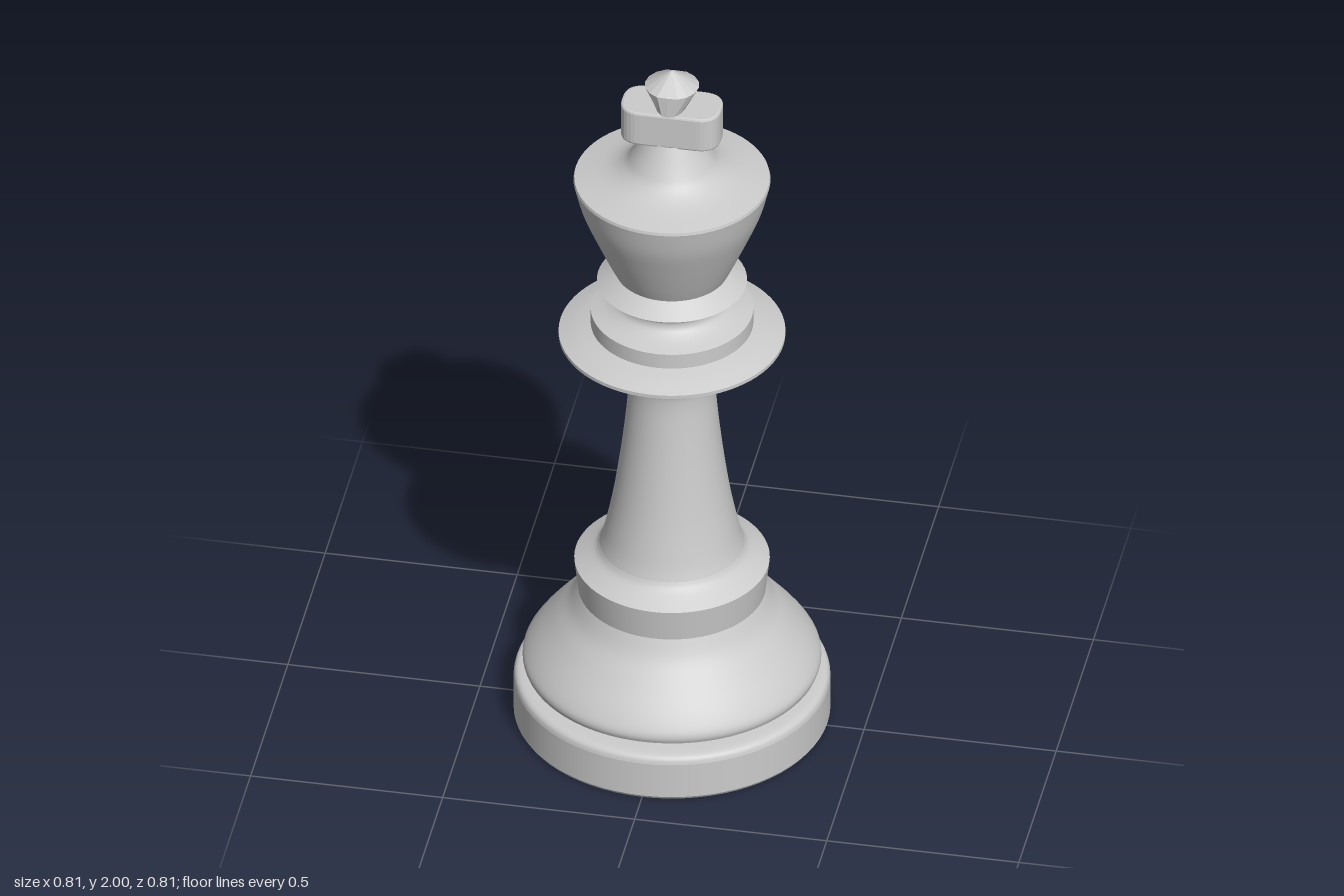
import * as THREE from 'three';

const material = new THREE.MeshStandardMaterial({ color: 0xcccccc });

// Each run is smooth inside; edges between runs stay sharp.
function turned(name, runs, smooth = true) {
  const group = new THREE.Group();
  group.name = name;
  runs.forEach((run, i) => {
    let pts = run.map(([r, y]) => new THREE.Vector2(r, y));
    if (smooth && pts.length > 2) {
      const curve = new THREE.SplineCurve(pts);
      pts = curve.getPoints((pts.length - 1) * 5);
    }
    const mesh = new THREE.Mesh(new THREE.LatheGeometry(pts, 72), material);
    mesh.name = `${name}Surface${i + 1}`;
    group.add(mesh);
  });
  return group;
}

function roundedPlan(hx, hz, r) {
  const s = new THREE.Shape();
  s.moveTo(-hx + r, -hz);
  s.lineTo(hx - r, -hz);
  s.quadraticCurveTo(hx, -hz, hx, -hz + r);
  s.lineTo(hx, hz - r);
  s.quadraticCurveTo(hx, hz, hx - r, hz);
  s.lineTo(-hx + r, hz);
  s.quadraticCurveTo(-hx, hz, -hx, hz - r);
  s.lineTo(-hx, -hz + r);
  s.quadraticCurveTo(-hx, -hz, -hx + r, -hz);
  return s;
}

export function createModel() {
  const king = new THREE.Group();
  king.name = 'chessKing';

  king.add(
    turned('base', [
      [[0, 0], [0.4, 0]],
      [[0.4, 0], [0.405, 0.008]],
      [[0.405, 0.008], [0.405, 0.108]],
      [[0.405, 0.108], [0.4, 0.122], [0.385, 0.13], [0.345, 0.134]],
    ]),
    turned('foot', [
      [[0.345, 0.134], [0.378, 0.157]],
      [[0.378, 0.157], [0.382, 0.172], [0.376, 0.192], [0.35, 0.23], [0.305, 0.285], [0.265, 0.335], [0.24, 0.385]],
    ]),
    turned('lowerCollar', [
      [[0.24, 0.385], [0.25, 0.475]],
      [[0.25, 0.475], [0.2, 0.505], [0.185, 0.525]],
    ]),
    turned('stem', [
      [[0.185, 0.525], [0.172, 0.57], [0.15, 0.68], [0.13, 0.82], [0.116, 0.95], [0.112, 1.02],
        [0.117, 1.06], [0.14, 1.1], [0.185, 1.125], [0.24, 1.145], [0.29, 1.175]],
    ]),
    turned('wideCollar', [
      [[0.29, 1.175], [0.29, 1.185]],
      [[0.29, 1.185], [0.25, 1.2], [0.208, 1.212]],
      [[0.208, 1.212], [0.208, 1.255]],
      [[0.208, 1.255], [0.17, 1.268], [0.145, 1.285], [0.14, 1.305], [0.15, 1.318]],
    ]),
    turned('neckRing', [
      [[0.15, 1.318], [0.192, 1.345]],
      [[0.192, 1.345], [0.145, 1.378]],
    ]),
    turned('head', [
      [[0.145, 1.378], [0.165, 1.42], [0.2, 1.5], [0.232, 1.58], [0.252, 1.658]],
      [[0.252, 1.658], [0.25, 1.666]],
      [[0.25, 1.666], [0.17, 1.685], [0.125, 1.71], [0.1, 1.745], [0.068, 1.805]],
    ]),
  );

  // Crossbar with rounded corners and a small bevel
  const bevel = 0.006;
  const barGeo = new THREE.ExtrudeGeometry(roundedPlan(0.13 - bevel, 0.065 - bevel, 0.052), {
    depth: 0.1 - 2 * bevel, bevelThickness: bevel, bevelSize: bevel, bevelSegments: 2, curveSegments: 8,
  });
  barGeo.rotateX(-Math.PI / 2);
  const bar = new THREE.Mesh(barGeo, material);
  bar.name = 'crossbar';
  bar.position.y = 1.799 + bevel;
  king.add(bar);

  // Finial: a stem narrowing downward in x only, under a pointed cap
  const finialGeo = new THREE.CylinderGeometry(1, 1, 1, 16, 2).toNonIndexed();
  const p = finialGeo.attributes.position;
  for (let i = 0; i < p.count; i++) {
    const level = Math.round(p.getY(i) * 2) + 1;
    const sx = [0.036, 0.07, 0.0][level];
    const sz = [0.068, 0.068, 0.0][level];
    const z = THREE.MathUtils.clamp(p.getZ(i) * sz, -0.064, 0.064);
    p.setXYZ(i, p.getX(i) * sx, [1.89, 1.955, 2][level], z);
  }
  finialGeo.computeVertexNormals();
  const finial = new THREE.Mesh(finialGeo, material.clone());
  finial.material.flatShading = true;
  finial.name = 'finial';
  king.add(finial);

  return king;
}
